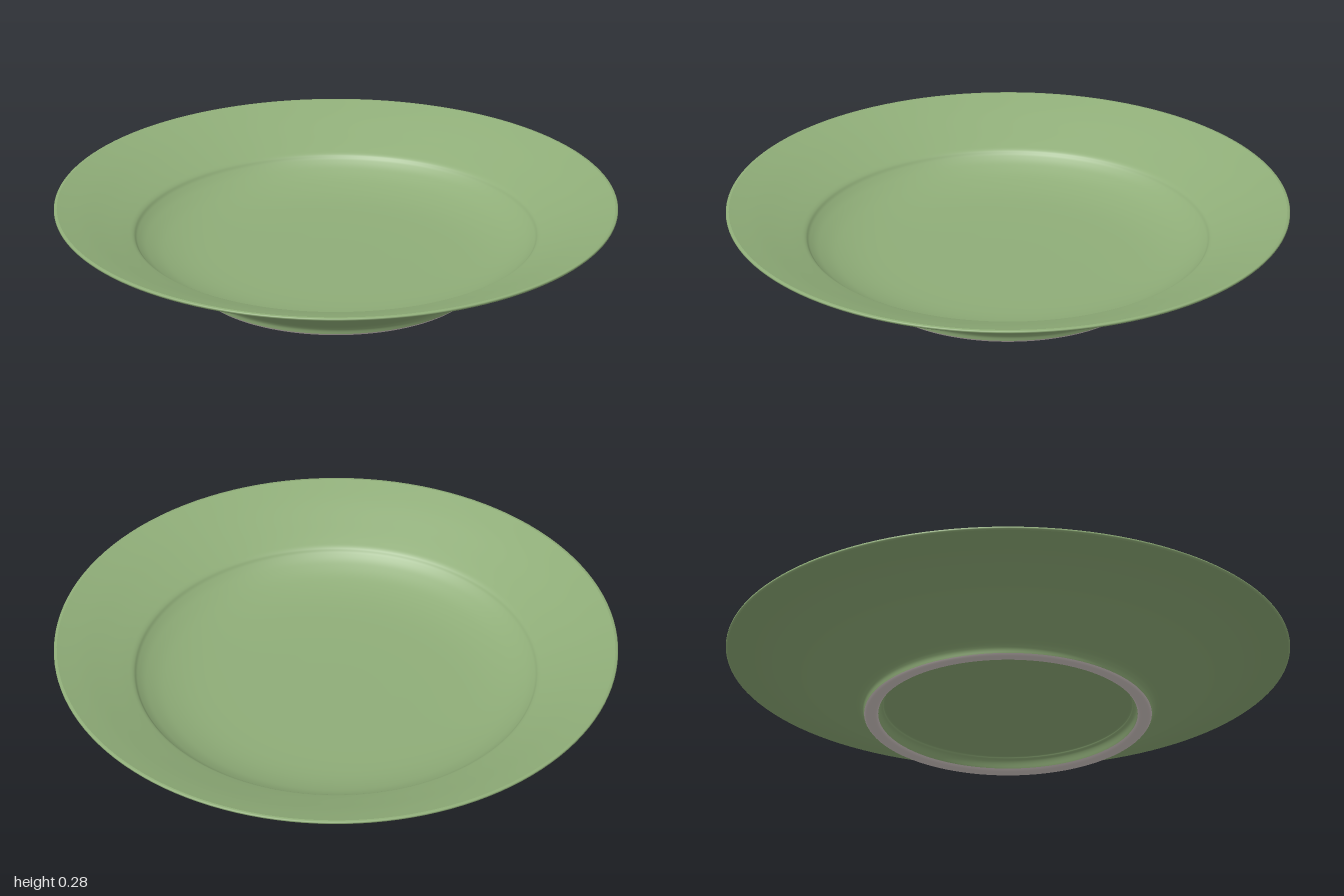
import * as THREE from 'three';

const SEGMENTS = 128;

const green = new THREE.MeshStandardMaterial({ color: 0x8fad78 });
green.name = 'green glaze';
const clay = new THREE.MeshStandardMaterial({ color: 0xd6cbc8 });
clay.name = 'bare clay';

// Smooth curve through a few [radius, height] points
function smooth(points, divisions) {
  const curve = new THREE.SplineCurve(points.map(([r, y]) => new THREE.Vector2(r, y)));
  const result = curve.getPoints(divisions);
  result.forEach((p) => { p.x = Math.max(p.x, 0); });
  return result;
}

// Profiles run from the underside outward and up, so faces point outward
function turned(name, points, material, divisions) {
  const mesh = new THREE.Mesh(new THREE.LatheGeometry(smooth(points, divisions), SEGMENTS), material);
  mesh.name = name;
  return mesh;
}

export function createModel() {
  const plate = new THREE.Group();
  plate.name = 'plate';

  // Recessed base inside the foot ring
  plate.add(turned('baseRecess', [
    [0, 0.05], [0.2, 0.05], [0.41, 0.048], [0.445, 0.037], [0.46, 0.008],
  ], green, 32));

  // Unglazed ring the plate stands on
  plate.add(turned('footRing', [
    [0.46, 0.008], [0.468, 0.001], [0.485, 0], [0.503, 0.001], [0.51, 0.008],
  ], clay, 12));

  // Flared outside wall, from foot to rim
  plate.add(turned('outerWall', [
    [0.51, 0.008], [0.517, 0.028], [0.542, 0.05], [0.64, 0.108], [0.72, 0.156],
    [0.79, 0.19], [0.88, 0.225], [0.995, 0.263],
  ], green, 48));

  // Rounded lip
  plate.add(turned('lip', [
    [0.995, 0.263], [1, 0.268], [0.999, 0.274], [0.99, 0.276],
  ], green, 10));

  // Broad sloping rim, well edge and flat eating surface
  plate.add(turned('rimAndWell', [
    [0.99, 0.276], [0.9, 0.248], [0.81, 0.216], [0.745, 0.192], [0.718, 0.18],
    [0.703, 0.164], [0.67, 0.142], [0.61, 0.117], [0.52, 0.098], [0.4, 0.09], [0.2, 0.088], [0, 0.088],
  ], green, 88));

  return plate;
}
